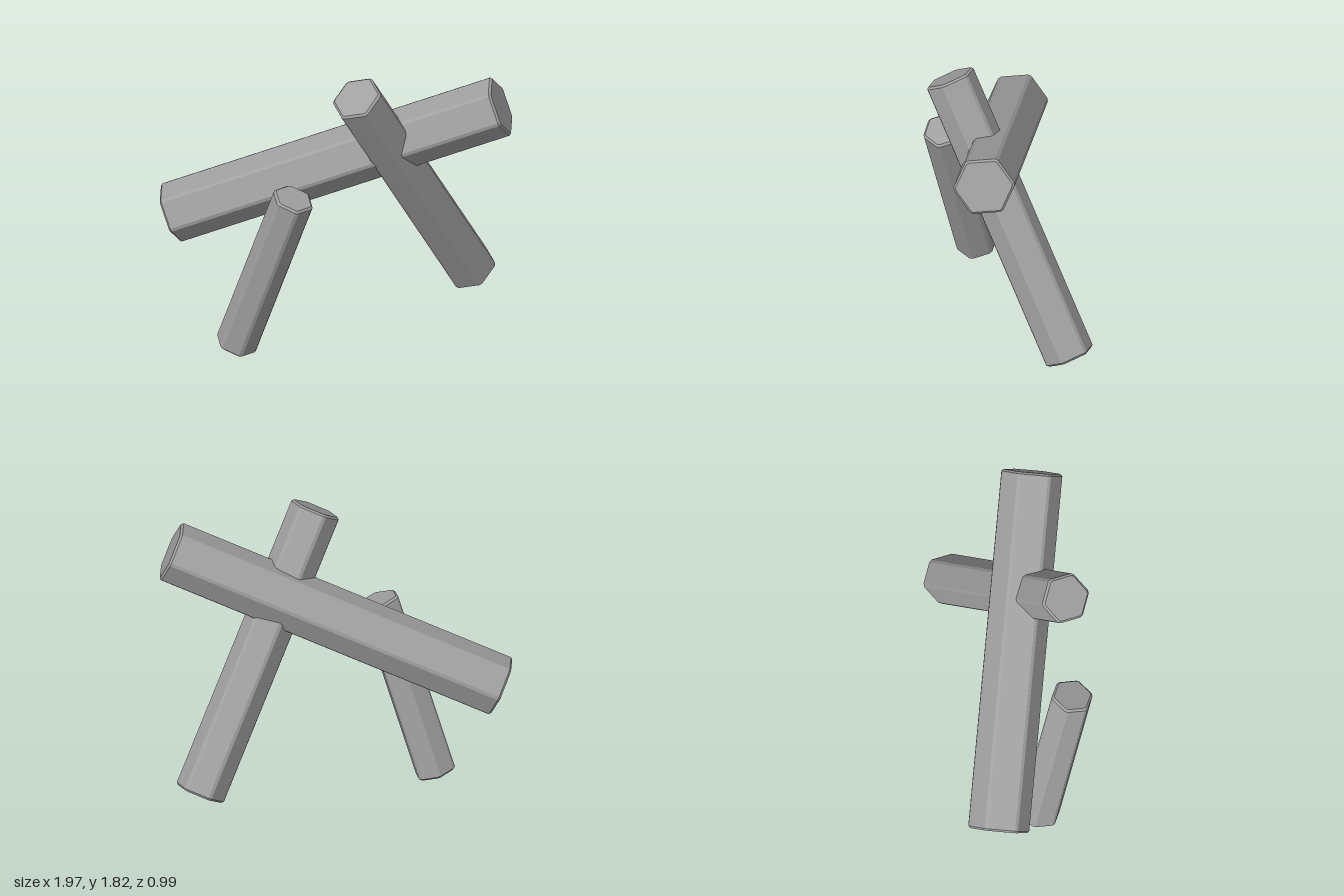
import * as THREE from 'three';

const BEVEL = 0.012;

// Hexagon with its corners slightly cut, one corner pointing along +y
function hexShape(radius) {
  const corner = i => new THREE.Vector2(0, radius).rotateAround(new THREE.Vector2(), i * Math.PI / 3);
  const points = [];
  for (let i = 0; i < 6; i++) {
    const c = corner(i);
    for (const n of [corner(i - 1), corner(i + 1)]) {
      points.push(c.clone().lerp(n, BEVEL / radius));
    }
  }
  return new THREE.Shape(points);
}

// Chamfered hexagonal beam between two end centres, a corner edge facing `edge`
function beam(name, start, end, radius, edge, material) {
  const a = new THREE.Vector3(...start);
  const b = new THREE.Vector3(...end);
  const length = a.distanceTo(b);
  const geometry = new THREE.ExtrudeGeometry(hexShape(radius), {
    depth: length - 2 * BEVEL,
    bevelEnabled: true,
    bevelThickness: BEVEL,
    bevelSize: BEVEL,
    bevelOffset: -BEVEL,
    bevelSegments: 1,
  });
  geometry.translate(0, 0, BEVEL - length / 2);

  const axis = b.clone().sub(a).normalize();
  const side = new THREE.Vector3(...edge).cross(axis).normalize();
  const up = axis.clone().cross(side);
  const mesh = new THREE.Mesh(geometry, material);
  mesh.name = name;
  mesh.quaternion.setFromRotationMatrix(new THREE.Matrix4().makeBasis(side, up, axis));
  mesh.position.copy(a).add(b).multiplyScalar(0.5);
  return mesh;
}

export function createModel() {
  const group = new THREE.Group();
  group.name = 'crossedBeams';
  const grey = new THREE.MeshStandardMaterial({ color: 0xa0a0a0 });
  grey.name = 'grey';

  group.add(
    // Long thick beam lying across the others
    beam('longBeam', [-0.905, 0.775, -0.33], [0.905, 1.585, 0.33], 0.183, [-0.289, -0.128, 0.949], grey),
    // Medium beam crossing it
    beam('crossBeam', [0.865, 0.235, -0.195], [0.04, 1.75, 0.315], 0.153, [0, 0, 1], grey),
    // Short thin prop
    beam('shortBeam', [-0.595, 0.038, -0.01], [-0.32, 1.105, 0.26], 0.127, [0, 0, 1], grey),
  );
  return group;
}
